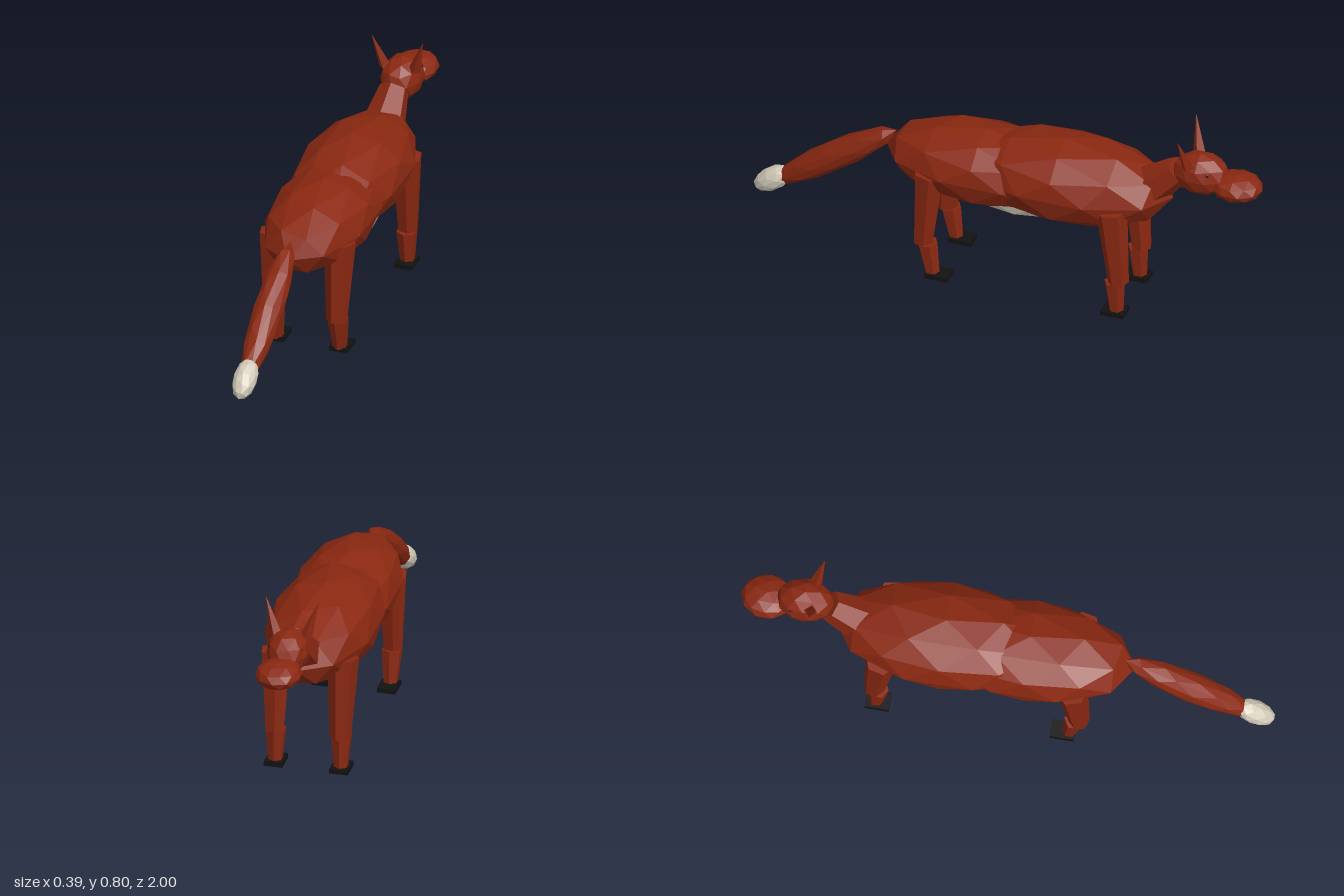
import * as THREE from 'three';

export function createModel() {
  const model = new THREE.Group();
  const fur = new THREE.MeshStandardMaterial({ name: 'russet fur', color: 0x8a2811, flatShading: true });
  const cream = new THREE.MeshStandardMaterial({ name: 'cream fur', color: 0xd2cab8, flatShading: true });
  const black = new THREE.MeshStandardMaterial({ name: 'black', color: 0x121212, flatShading: true });

  // Faceted ball with one corner pointing straight up
  const ball = new THREE.IcosahedronGeometry(1, 1);
  ball.rotateZ(-Math.atan2(1, (1 + Math.sqrt(5)) / 2));

  function add(name, geometry, material, position) {
    const mesh = new THREE.Mesh(geometry, material);
    mesh.name = name;
    mesh.position.set(...position);
    model.add(mesh);
    return mesh;
  }

  function ellipsoid(name, material, position, radii, tilt = 0) {
    const mesh = add(name, ball, material, position);
    mesh.scale.set(...radii);
    mesh.rotation.x = tilt;
    return mesh;
  }

  // Tapered prism running from point a to point b
  function limb(name, a, b, radiusA, radiusB, sides = 6) {
    const start = new THREE.Vector3(...a);
    const along = new THREE.Vector3(...b).sub(start);
    const length = along.length();
    const geometry = new THREE.CylinderGeometry(radiusB, radiusA, length, sides);
    const mesh = add(name, geometry, fur, start.addScaledVector(along, 0.5).toArray());
    mesh.quaternion.setFromUnitVectors(new THREE.Vector3(0, 1, 0), along.normalize());
    return mesh;
  }

  // Torso and belly
  ellipsoid('chest', fur, [0, 0.477, -0.23], [0.206, 0.166, 0.42]);
  ellipsoid('hindquarters', fur, [0, 0.462, 0.085], [0.195, 0.15, 0.395]);
  ellipsoid('belly', cream, [0, 0.403, -0.07], [0.158, 0.1, 0.31]);

  // Tail sloping down behind the body
  ellipsoid('tail', fur, [0, 0.35, 0.685], [0.057, 0.057, 0.3], 0.61);
  ellipsoid('tailTip', cream, [0, 0.192, 0.925], [0.045, 0.045, 0.088], 0.61);

  // Neck and head
  limb('neck', [0, 0.5, -0.545], [0, 0.607, -0.67], 0.085, 0.056);
  ellipsoid('head', fur, [0, 0.615, -0.76], [0.08, 0.085, 0.11]);
  ellipsoid('muzzle', fur, [0, 0.588, -0.9], [0.087, 0.05, 0.1]);

  for (const [side, s] of [['left', 1], ['right', -1]]) {
    limb(side + 'Ear', [s * 0.058, 0.665, -0.73], [s * 0.1, 0.797, -0.703], 0.024, 0.001, 4);
    ellipsoid(side + 'Eye', black, [s * 0.056, 0.645, -0.803], [0.009, 0.009, 0.009]);

    // Front leg
    limb(side + 'FrontUpperLeg', [s * 0.128, 0.457, -0.453], [s * 0.125, 0.14, -0.48], 0.06, 0.039);
    limb(side + 'FrontLowerLeg', [s * 0.125, 0.14, -0.465], [s * 0.125, 0.015, -0.472], 0.04, 0.028);
    add(side + 'FrontPaw', new THREE.BoxGeometry(0.07, 0.018, 0.09), black, [s * 0.125, 0.009, -0.465]);

    // Hind leg
    limb(side + 'HindUpperLeg', [s * 0.128, 0.457, 0.262], [s * 0.125, 0.14, 0.288], 0.06, 0.039);
    limb(side + 'HindLowerLeg', [s * 0.125, 0.14, 0.272], [s * 0.125, 0.015, 0.252], 0.04, 0.028);
    add(side + 'HindPaw', new THREE.BoxGeometry(0.07, 0.018, 0.09), black, [s * 0.125, 0.009, 0.227]);
  }

  return model;
}
